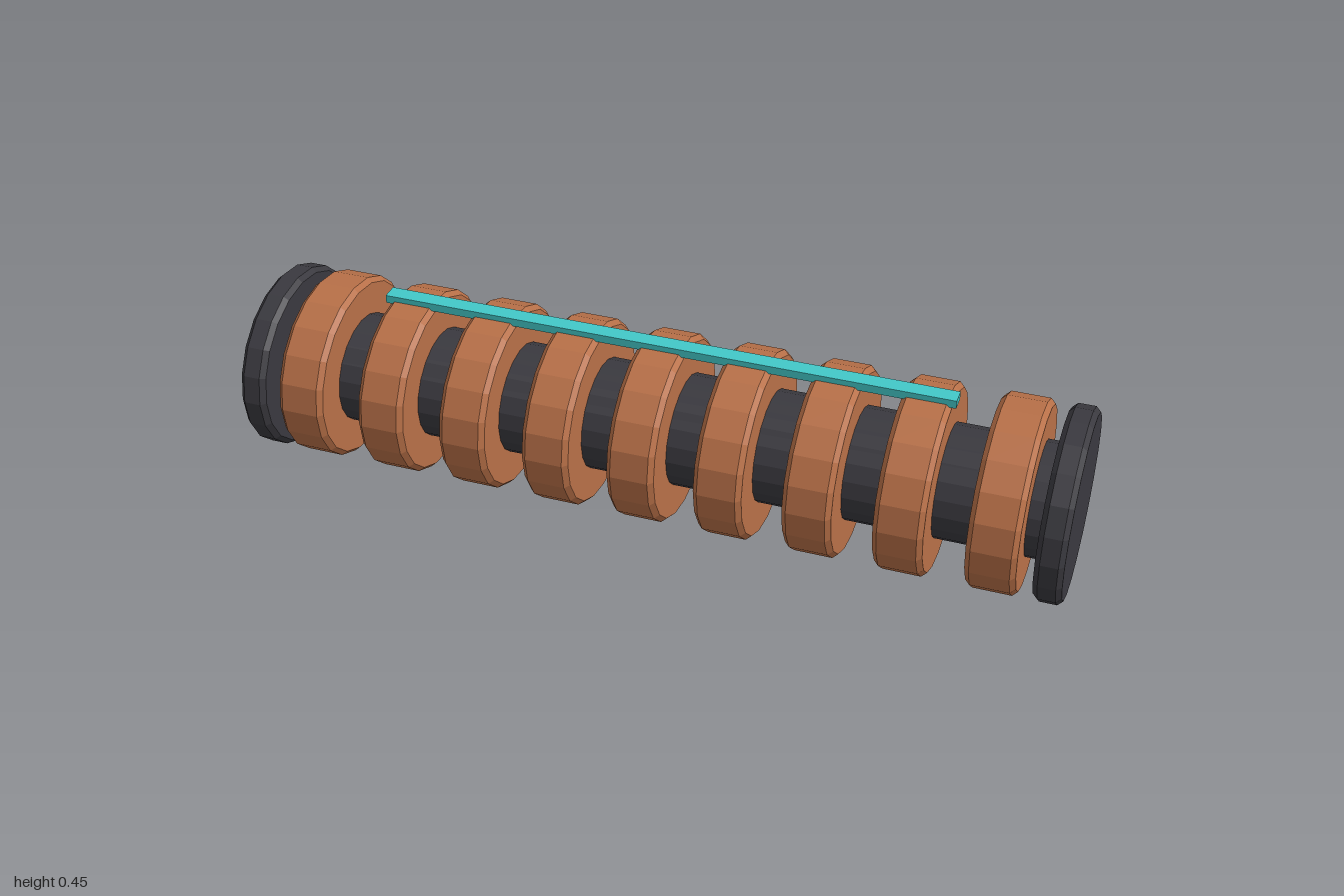
import * as THREE from 'three';

const SIDES = 20;
const RZ = 0.243;       // outer radius in depth
const SQUASH = 0.911;   // the roller is slightly flattened in height
const AXIS_Y = RZ * SQUASH;

// Faceted solid turned around the x axis from [radius, offset] pairs
function turned(profile) {
  const points = profile.map(([r, h]) => new THREE.Vector2(r, h));
  const geometry = new THREE.LatheGeometry(points, SIDES).toNonIndexed();
  geometry.rotateZ(Math.PI / 2);
  geometry.scale(1, SQUASH, 1);
  geometry.computeVertexNormals();
  return geometry;
}

// Disc with chamfered rims; inner is the radius where its flat faces start
function chamferedDisc(radius, width, bevel, inner) {
  const h = width / 2;
  return turned([
    [inner, -h], [radius - bevel, -h], [radius, -h + bevel],
    [radius, h - bevel], [radius - bevel, h], [inner, h],
  ]);
}

export function createModel() {
  const model = new THREE.Group();
  const dark = new THREE.MeshStandardMaterial({ color: 0x3a393f });
  dark.name = 'dark metal';
  const copper = new THREE.MeshStandardMaterial({ color: 0xb87048 });
  copper.name = 'copper';
  const teal = new THREE.MeshStandardMaterial({ color: 0x42c8c8 });
  teal.name = 'teal light';

  const add = (name, geometry, material, x, y) => {
    const mesh = new THREE.Mesh(geometry, material);
    mesh.name = name;
    mesh.position.set(x, y, 0);
    model.add(mesh);
  };

  // Central core
  add('core', turned([[0, -0.95], [0.145, -0.95], [0.145, 0.95], [0, 0.95]]), dark, 0, AXIS_Y);

  // End caps
  const cap = chamferedDisc(RZ, 0.065, 0.012, 0);
  add('leftEndCap', cap, dark, 0.9675, AXIS_Y);
  add('rightEndCap', cap, dark, -0.9675, AXIS_Y);

  // Evenly spaced coil rings
  const ring = chamferedDisc(RZ, 0.115, 0.012, 0.13);
  for (let i = -4; i <= 4; i++) add('coilRing' + (i + 5), ring, copper, i * 0.21, AXIS_Y);

  // Light strip along the top
  add('lightStrip', new THREE.BoxGeometry(1.396, 0.02, 0.041), teal, 0, 0.4435);

  return model;
}
